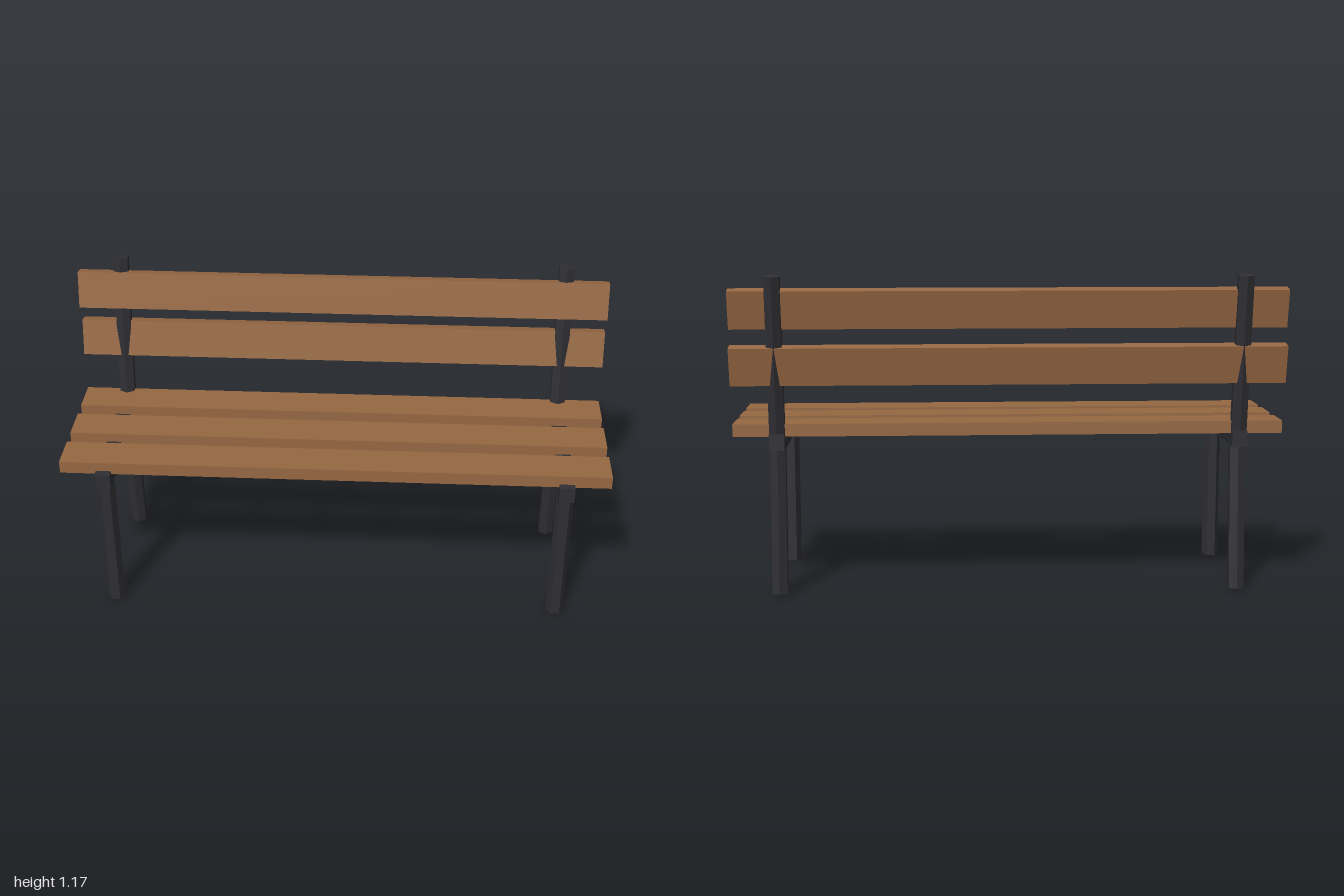
import * as THREE from 'three';

export function createModel() {
  const bench = new THREE.Group();
  bench.name = 'bench';
  const wood = new THREE.MeshStandardMaterial({ color: 0x966842, flatShading: true });
  const metal = new THREE.MeshStandardMaterial({ color: 0x2f2f34, flatShading: true });

  function add(name, geometry, material, x, y, z, tilt = 0) {
    const mesh = new THREE.Mesh(geometry, material);
    mesh.name = name;
    mesh.position.set(x, y, z);
    mesh.rotation.x = tilt;
    bench.add(mesh);
  }

  // Hexagonal bar between two (y, z) points in the plane at x
  function addBar(name, x, [y0, z0], [y1, z1], turn = 0) {
    const length = Math.hypot(y1 - y0, z1 - z0);
    const bar = new THREE.CylinderGeometry(0.032, 0.032, length, 6).rotateY(turn);
    add(name, bar, metal, x, (y0 + y1) / 2, (z0 + z1) / 2, Math.atan2(z1 - z0, y1 - y0));
  }

  // End frames, mirrored left and right
  for (const [side, x] of [['left', 0.84], ['right', -0.84]]) {
    addBar(side + 'FrontLeg', x, [0.003, 0.278], [0.563, 0.278], Math.PI / 6);
    addBar(side + 'BackLeg', x, [0.003, -0.245], [0.563, -0.205]);
    addBar(side + 'BackPost', x, [0.565, -0.225], [1.164, -0.303]);
    add(side + 'SeatRail', new THREE.BoxGeometry(0.056, 0.06, 0.597), metal, x, 0.564, 0.036);
  }

  // Seat slats lie flat, back slats lean backwards
  const slat = new THREE.BoxGeometry(2, 0.046, 0.139);
  for (const z of [0.237, 0.036, -0.166]) add('seatSlat', slat, wood, 0, 0.605, z);
  const backSlat = new THREE.BoxGeometry(2, 0.139, 0.046);
  for (const y of [0.844, 1.046]) add('backSlat', backSlat, wood, 0, y, -0.265, -0.2);

  return bench;
}
